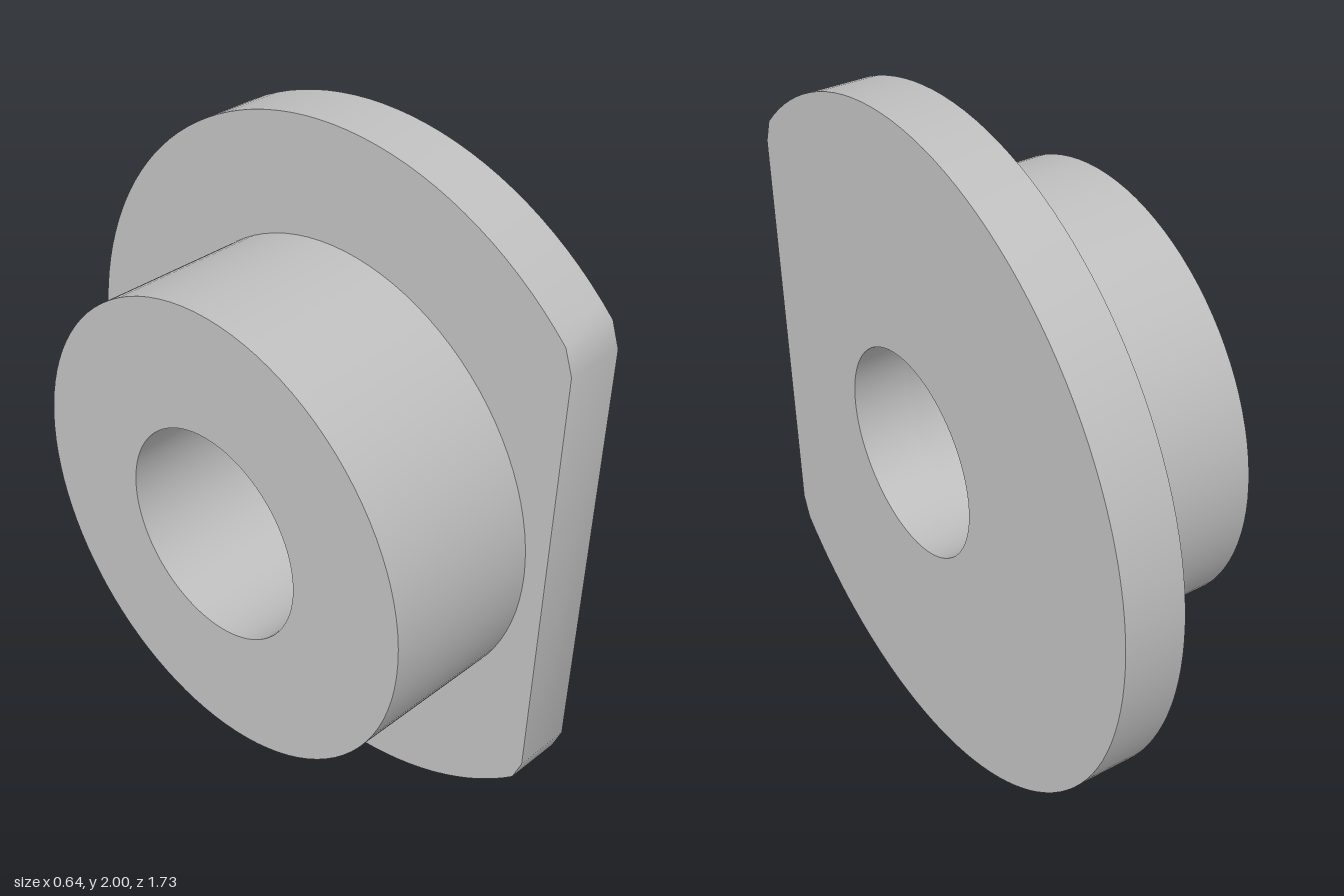
import * as THREE from 'three';
import { toCreasedNormals } from 'three/addons/utils/BufferGeometryUtils.js';

const BORE = 0.307;      // bore radius
const AXIS_Z = 0.134;    // the shared axis runs along x at y = 1

// Extrudes a profile (u = -z, v = y) along x from x0 to x1, with the bore cut through.
function bored(name, shape, x0, x1, material) {
  const bore = new THREE.Path();
  bore.absarc(0, 0, BORE, 0, Math.PI * 2, true);
  shape.holes.push(bore);
  const solid = new THREE.ExtrudeGeometry(shape, { depth: x1 - x0, bevelEnabled: false, curveSegments: 48 });
  solid.rotateY(Math.PI / 2);
  const mesh = new THREE.Mesh(toCreasedNormals(solid, 0.6), material);
  mesh.name = name;
  mesh.position.set(x0, 1, AXIS_Z);
  return mesh;
}

export function createModel() {
  const steel = new THREE.MeshStandardMaterial({ color: 0xc0c0c0 });
  steel.name = 'plain grey';

  // Flange: a disc with one flat side and softened corners
  const disc = new THREE.Shape();
  const corner = Math.PI * 0.75;
  disc.absarc(0, 0, 1, -corner, corner, false);
  disc.lineTo(-0.733, 0.637);
  disc.lineTo(-0.733, -0.637);
  disc.closePath();

  // Hub: a plain round sleeve
  const ring = new THREE.Shape();
  ring.absarc(0, 0, 0.667, 0, Math.PI * 2, false);

  const model = new THREE.Group();
  model.name = 'flangedBushing';
  model.add(
    bored('flange', disc, 0.147, 0.322, steel),
    bored('hub', ring, -0.322, 0.147, steel)
  );
  return model;
}
